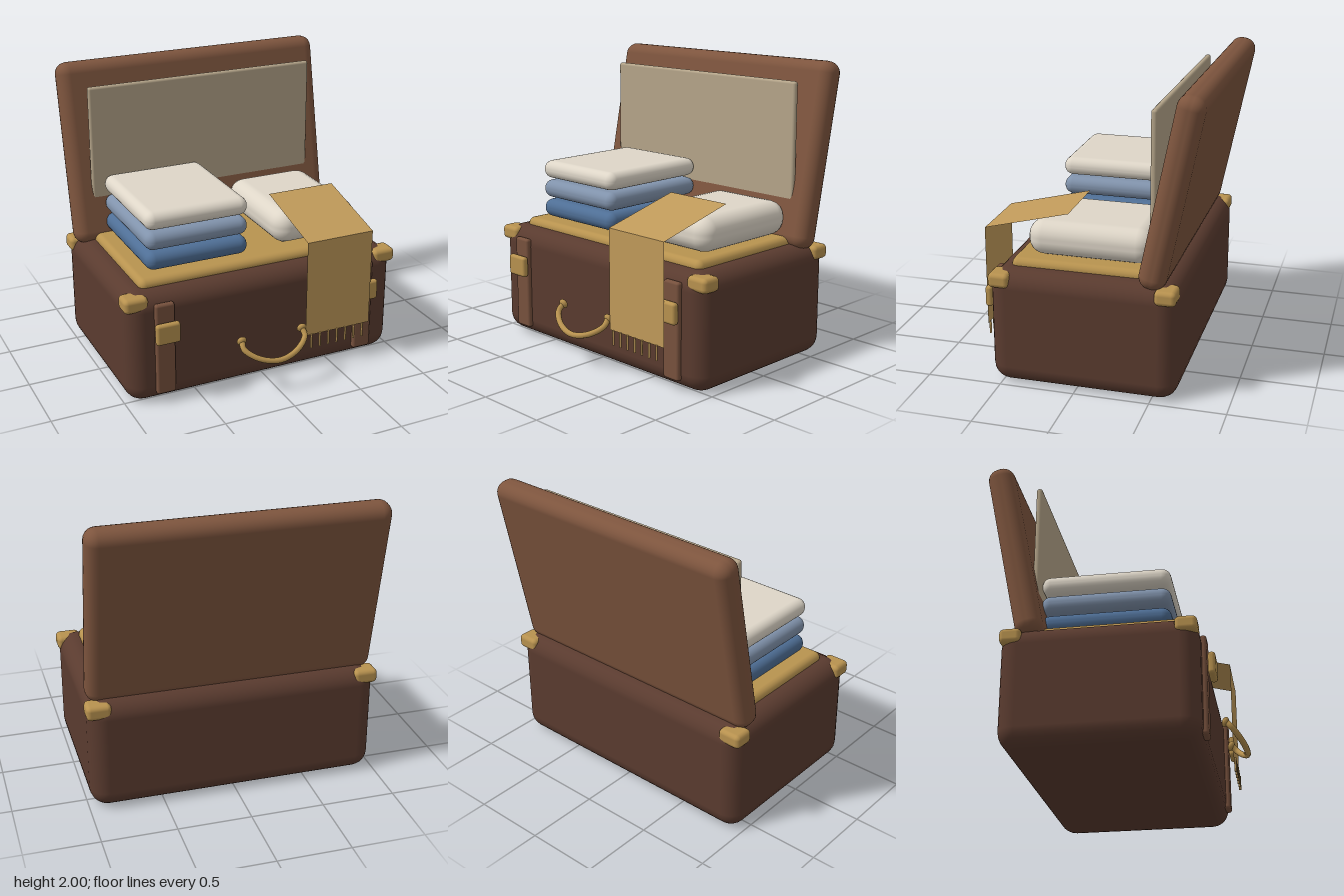
import * as THREE from 'three';
import { RoundedBoxGeometry } from 'three/addons/geometries/RoundedBoxGeometry.js';

const mat = (color, extra = {}) => new THREE.MeshStandardMaterial({ color, ...extra });

export function createModel() {
  const model = new THREE.Group();
  model.name = 'openSuitcase';

  const leather = mat(0x5a3b2f);
  const lidLeather = mat(0x7e553e);
  const strapLeather = mat(0x77513d);
  const brass = mat(0xb8924f);
  const trayCloth = mat(0xb8934f);
  const liningCloth = mat(0xb5a58a);
  const cream = mat(0xded6c8);
  const paleBlue = mat(0x8193ac);
  const darkBlue = mat(0x4f6f96);
  const scarfCloth = mat(0xc09a5a, { side: THREE.DoubleSide });

  const add = (name, geometry, material, x = 0, y = 0, z = 0) => {
    const mesh = new THREE.Mesh(geometry, material);
    mesh.name = name;
    mesh.position.set(x, y, z);
    model.add(mesh);
    return mesh;
  };
  // Rounded box given by its size, edge radius and centre
  const box = (name, material, [w, h, d], r, [x, y, z], segments = 3) =>
    add(name, new RoundedBoxGeometry(w, h, d, segments, r), material, x, y, z);

  // Case and leaning lid
  box('caseBody', leather, [1.97, 0.785, 1.24], 0.12, [0, 0.3925, -0.045]);
  box('lid', lidLeather, [1.96, 1.27, 0.18], 0.08, [0, 1.373, -0.605]).rotation.x = -0.2;
  box('lidLining', liningCloth, [1.68, 1.0, 0.04], 0.018, [0, 1.375, -0.475], 2);
  box('tray', trayCloth, [1.7, 0.115, 1.0], 0.045, [0, 0.777, -0.04], 2);

  // Brass corners, straps and buckles
  for (const side of [-1, 1]) {
    const label = side > 0 ? 'left' : 'right';
    box(label + 'FrontCorner', brass, [0.165, 0.098, 0.14], 0.03, [side * 0.915, 0.722, 0.5], 2);
    box(label + 'BackCorner', brass, [0.165, 0.098, 0.14], 0.03, [side * 0.915, 0.722, -0.59], 2);
    box(label + 'Strap', strapLeather, [0.135, 0.65, 0.045], 0.018, [side * 0.737, 0.395, 0.583], 2);
    box(label + 'Buckle', brass, [0.168, 0.145, 0.047], 0.02, [side * 0.735, 0.528, 0.634], 2);
  }

  // Handle hanging forward, with a knob at each end
  const handlePath = new THREE.CatmullRomCurve3([
    [-0.222, 0.37, 0.66], [-0.228, 0.325, 0.7], [-0.14, 0.262, 0.757], [0, 0.232, 0.782],
    [0.14, 0.262, 0.757], [0.228, 0.325, 0.7], [0.222, 0.37, 0.66],
  ].map(p => new THREE.Vector3(...p)));
  add('handle', new THREE.TubeGeometry(handlePath, 32, 0.02, 10), brass);
  for (const side of [-1, 1]) {
    const knob = add('handleKnob', new THREE.SphereGeometry(0.034, 12, 8), brass, side * 0.224, 0.366, 0.66);
    knob.scale.z = 0.65;
    knob.rotation.x = 0.4;
  }

  // Folded clothes
  [darkBlue, paleBlue, cream].forEach((material, i) =>
    box('foldedShirt', material, [0.727, 0.126, 0.845], 0.06, [-0.4, 0.907 + i * 0.14, -0.038]));
  box('foldedBlanket', cream, [0.635, 0.235, 0.83], 0.105, [0.498, 0.957, -0.047]);

  // Scarf: a sheet draped over the front edge, folded once
  const profile = [[1.13, 0.1], [0.985, 0.67], [0.3, 0.67]];
  const sheet = new THREE.PlaneGeometry(0.495, 1, 1, 2);
  const pos = sheet.attributes.position;
  for (let i = 0; i < pos.count; i++) {
    const [y, z] = profile[Math.floor(i / 2)];
    pos.setXYZ(i, pos.getX(i), y, z);
  }
  const scarf = sheet.toNonIndexed();
  scarf.computeVertexNormals();
  add('scarf', scarf, scarfCloth, 0.4975);
  for (let i = 0; i < 7; i++) {
    add('scarfFringe', new THREE.CylinderGeometry(0.008, 0.008, 0.1, 6), scarfCloth, 0.292 + i * 0.066, 0.255, 0.678);
  }
  return model;
}
